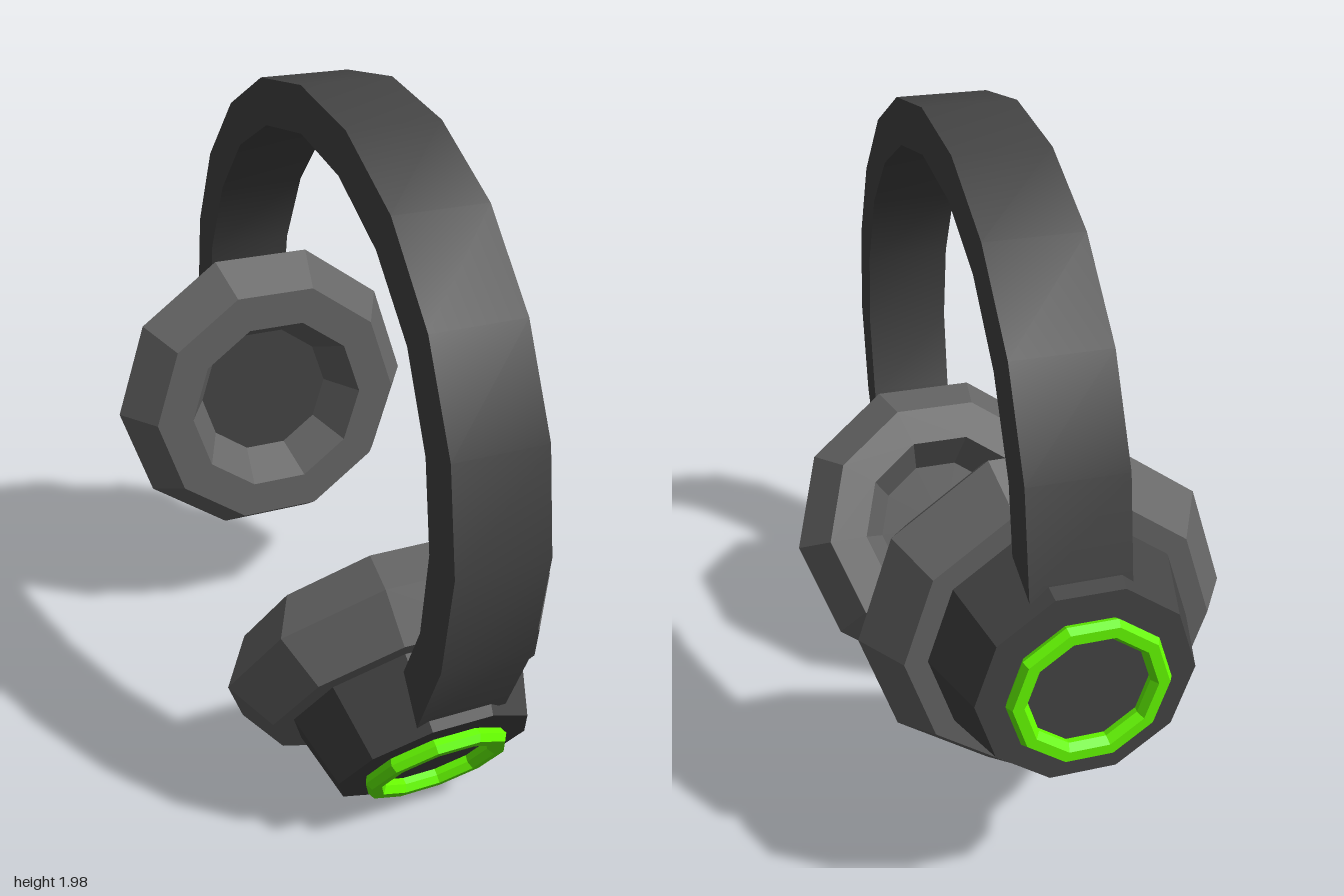
import * as THREE from 'three';
import { toCreasedNormals } from 'three/addons/utils/BufferGeometryUtils.js';

const flat = (color) => new THREE.MeshStandardMaterial({ color, flatShading: true });
const padMaterial = flat(0x666666);
const shellMaterial = flat(0x444444);
const ringMaterial = flat(0x66ff00);

// Ten-sided turned part: profile of [radius, depth], depth runs outward along +z
function turned(name, profile, material) {
  const points = profile.map(([r, d]) => new THREE.Vector2(r, d));
  const geometry = new THREE.LatheGeometry(points, 10, Math.PI / 2);
  geometry.rotateX(Math.PI / 2);
  const mesh = new THREE.Mesh(geometry, material);
  mesh.name = name;
  return mesh;
}

// One ear cup, origin at the middle of its cushion
function earCup(name) {
  const cup = new THREE.Group();
  cup.name = name;
  cup.add(
    // Faceted cushion with a sloping opening
    turned('cushion', [
      [0.22, 0], [0.295, -0.135], [0.415, -0.135], [0.505, 0],
      [0.415, 0.135], [0.295, 0.135], [0.22, 0],
    ], padMaterial),
    // Tapered shell, its inner end closes the opening
    turned('shell', [
      [0, 0], [0.24, 0], [0.355, 0.13], [0.29, 0.34], [0, 0.34],
    ], shellMaterial),
    // Bevelled accent ring on the outer face
    turned('accentRing', [
      [0.165, 0.335], [0.205, 0.335], [0.217, 0.36], [0.205, 0.38],
      [0.175, 0.38], [0.16, 0.36], [0.165, 0.335],
    ], ringMaterial),
  );
  return cup;
}

// Headband: side outline [z, y] extruded across x
function headband() {
  const outer = [
    [0.83, 0.465], [0.95, 0.72], [1, 1.02], [0.957, 1.31], [0.824, 1.58],
    [0.615, 1.8], [0.348, 1.94], [0.053, 1.99], [-0.246, 1.95],
    [-0.513, 1.82], [-0.733, 1.61], [-0.872, 1.35], [-0.925, 1.06],
  ];
  const inner = [
    [0.72, 0.54], [0.83, 0.765], [0.866, 1.016], [0.83, 1.267], [0.717, 1.508],
    [0.535, 1.69], [0.305, 1.813], [0.053, 1.861], [-0.21, 1.823],
    [-0.44, 1.71], [-0.62, 1.53], [-0.75, 1.294], [-0.787, 1.107],
  ];
  const outline = [...outer, ...inner.reverse()].map(([z, y]) => new THREE.Vector2(z, y));
  const geometry = new THREE.ExtrudeGeometry(new THREE.Shape(outline), {
    depth: 0.265, bevelEnabled: false,
  });
  geometry.rotateY(-Math.PI / 2);
  geometry.translate(0.143, 0, 0);
  const mesh = new THREE.Mesh(
    toCreasedNormals(geometry, 0.5),
    new THREE.MeshStandardMaterial({ color: 0x444444 }),
  );
  mesh.name = 'headband';
  return mesh;
}

export function createModel() {
  const model = new THREE.Group();
  model.name = 'headphones';

  // Front cup is swivelled downward, back cup hangs straight
  const frontCup = earCup('frontEarCup');
  frontCup.position.set(0, 0.428, 0.4225);
  frontCup.rotation.x = THREE.MathUtils.degToRad(34.6);

  const backCup = earCup('backEarCup');
  backCup.position.set(0, 0.806, -0.62);
  backCup.rotation.y = Math.PI;

  model.add(headband(), frontCup, backCup);
  return model;
}
